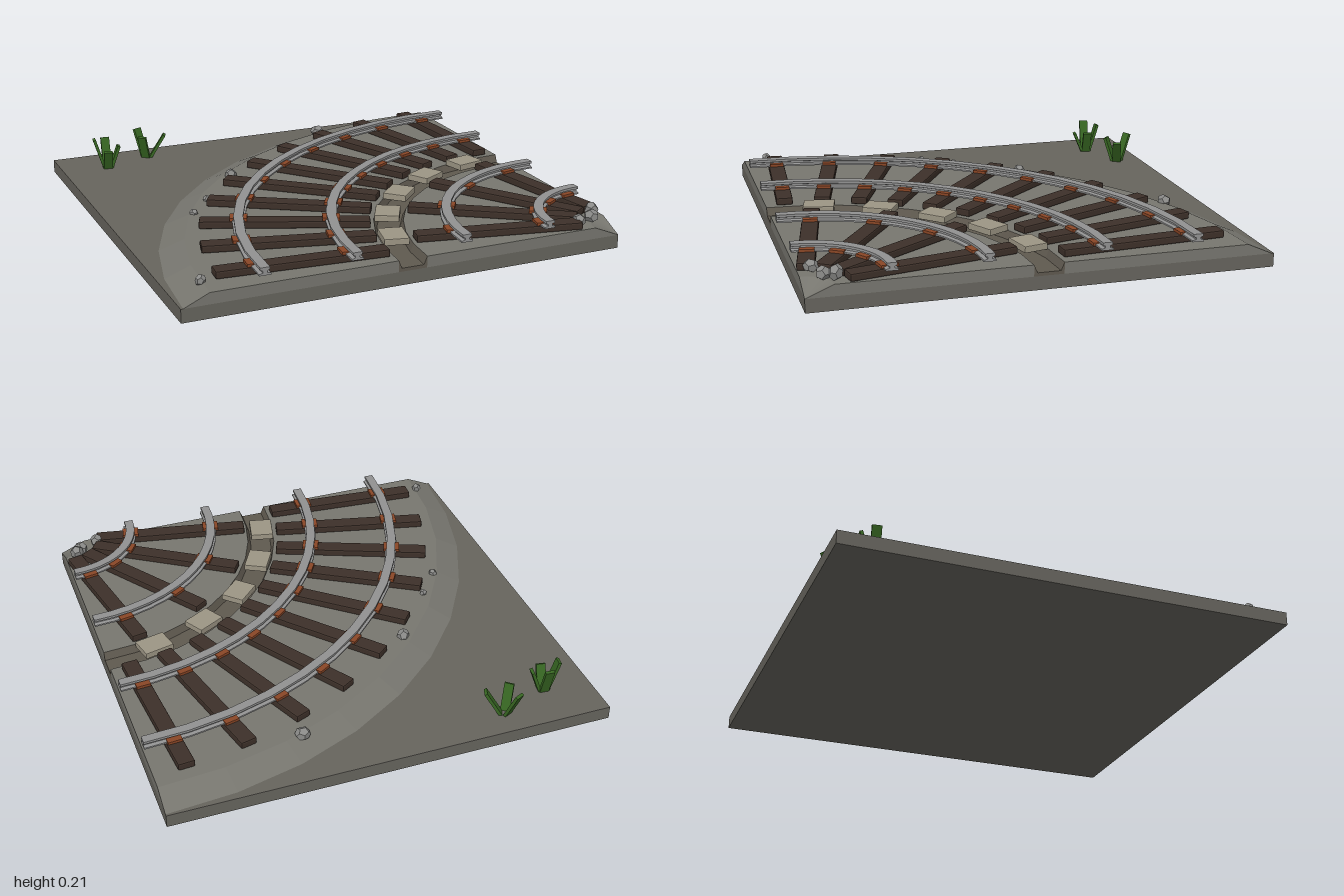
import * as THREE from 'three';
import { RoundedBoxGeometry } from 'three/addons/geometries/RoundedBoxGeometry.js';
import { mergeGeometries } from 'three/addons/utils/BufferGeometryUtils.js';

const mat = (color) => new THREE.MeshStandardMaterial({ color, flatShading: true });
const MAT = {
  ground: mat(0x66645d), bed: mat(0x77766f), gutter: mat(0x5f594f), slab: mat(0x9c9584),
  wood: mat(0x3d3029), rust: mat(0x8a4626), steel: mat(0x919191), stone: mat(0x8a8a88), grass: mat(0x376622),
};

// Sweeps a closed profile of [radius, height] (counter-clockwise) through the quarter turn, with end caps.
function sweep(profile, segments) {
  const pts = profile.map(([r, y]) => new THREE.Vector2(r, y));
  const ring = new THREE.LatheGeometry([...pts, pts[0]], segments, Math.PI, Math.PI / 2);
  const capBack = new THREE.ShapeGeometry(new THREE.Shape(pts)).rotateY(Math.PI / 2);
  const capFront = new THREE.ShapeGeometry(new THREE.Shape(pts.map((p) => new THREE.Vector2(-p.x, p.y))));
  return mergeGeometries([ring, capBack, capFront]).translate(1, 0, 1);
}

export function createModel() {
  const root = new THREE.Group();
  const add = (name, geometry, material, parent = root) => {
    const mesh = new THREE.Mesh(geometry, material);
    mesh.name = name;
    parent.add(mesh);
    return mesh;
  };
  // Puts a mesh at a radius and angle around the corner of the curve, its x axis along the radius.
  const place = (mesh, r, y, deg) => {
    const a = THREE.MathUtils.degToRad(deg);
    mesh.position.set(1 - r * Math.cos(a), y, 1 - r * Math.sin(a));
    mesh.rotation.y = -a;
  };

  // Ground slab
  add('groundSlab', new THREE.BoxGeometry(2, 0.06, 2).translate(0, 0.03, 0), MAT.ground);

  // Gravel bed on both sides of the drainage gutter
  add('outerGravelBed', sweep([[1.065, 0.06], [1.99, 0.06], [1.88, 0.11], [1.065, 0.11]], 10), MAT.bed);
  add('innerGravelBed', sweep([[0, 0.06], [0.935, 0.06], [0.935, 0.11], [0.12, 0.11]], 10), MAT.bed);
  add('gutter', sweep([[0.935, 0.06], [1.065, 0.06], [1.065, 0.11], [1.05, 0.075], [0.95, 0.075], [0.935, 0.11]], 10), MAT.gutter);

  // Stone slabs bridging the gutter
  const slabGeo = new RoundedBoxGeometry(0.11, 0.03, 0.14, 1, 0.004);
  for (let i = 0; i < 5; i++) place(add('gutterSlab', slabGeo, MAT.slab), 1.005, 0.124, 13 + 16 * i);

  // Two tracks: sleepers, tie plates and rails
  const sleeperGeo = new RoundedBoxGeometry(0.74, 0.034, 0.075, 1, 0.007);
  const plateGeo = new THREE.BoxGeometry(0.076, 0.014, 0.064);
  for (const { name, mid, count } of [{ name: 'outer', mid: 1.45, count: 10 }, { name: 'inner', mid: 0.55, count: 4 }]) {
    const track = new THREE.Group();
    track.name = name + 'Track';
    root.add(track);
    const rails = [mid - 0.2, mid + 0.2];
    for (let i = 0; i < count; i++) {
      const deg = (i + 0.5) * 90 / count;
      place(add('sleeper', sleeperGeo, MAT.wood, track), mid, 0.128, deg);
      for (const r of rails) place(add('tiePlate', plateGeo, MAT.rust, track), r, 0.15, deg);
    }
    for (const r of rails) {
      const half = [[0.026, 0.143], [0.026, 0.15], [0.01, 0.154], [0.01, 0.162], [0.021, 0.166], [0.021, 0.177]];
      const profile = [...half.map(([w, y]) => [r + w, y]), ...half.map(([w, y]) => [r - w, y]).reverse()];
      add('rail', sweep(profile, 13), MAT.steel, track);
    }
  }

  // Loose stones: x, y, z, radius
  const stones = [
    [0.34, 0.115, -0.77, 0.035], [-0.32, 0.115, -0.28, 0.033], [-0.54, 0.115, 0, 0.02],
    [-0.65, 0.112, 0.14, 0.022], [-0.88, 0.12, 0.89, 0.025],
    [0.83, 0.135, 0.945, 0.034], [0.915, 0.13, 0.91, 0.035], [0.945, 0.14, 0.865, 0.036],
  ];
  stones.forEach(([x, y, z, r], i) => {
    const stone = add('stone', new THREE.DodecahedronGeometry(r), MAT.stone);
    stone.position.set(x, y, z);
    stone.rotation.set(i * 1.3, i * 2.1, i * 0.7);
    stone.scale.set(1, 0.85, 0.9);
  });

  // Grass tufts: blades lean outward by heading (degrees from +x toward +z), with length and lean
  const tufts = [
    { at: [-0.78, -0.785], blades: [[8, 0.12, 0.35], [100, 0.11, 0.4], [188, 0.16, 0.3], [275, 0.15, 0.3]] },
    { at: [-0.55, -0.875], blades: [[20, 0.14, 0.55], [130, 0.13, 0.35], [245, 0.15, 0.4]] },
  ];
  for (const { at, blades } of tufts) {
    const tuft = new THREE.Group();
    tuft.name = 'grassTuft';
    tuft.position.set(at[0], 0.055, at[1]);
    root.add(tuft);
    for (const [heading, length, lean] of blades) {
      const geo = new THREE.BoxGeometry(0.014, length, 0.042).translate(0, length / 2, 0)
        .rotateZ(-lean).translate(0.015, 0, 0).rotateY(-THREE.MathUtils.degToRad(heading));
      add('grassBlade', geo, MAT.grass, tuft);
    }
  }
  return root;
}
